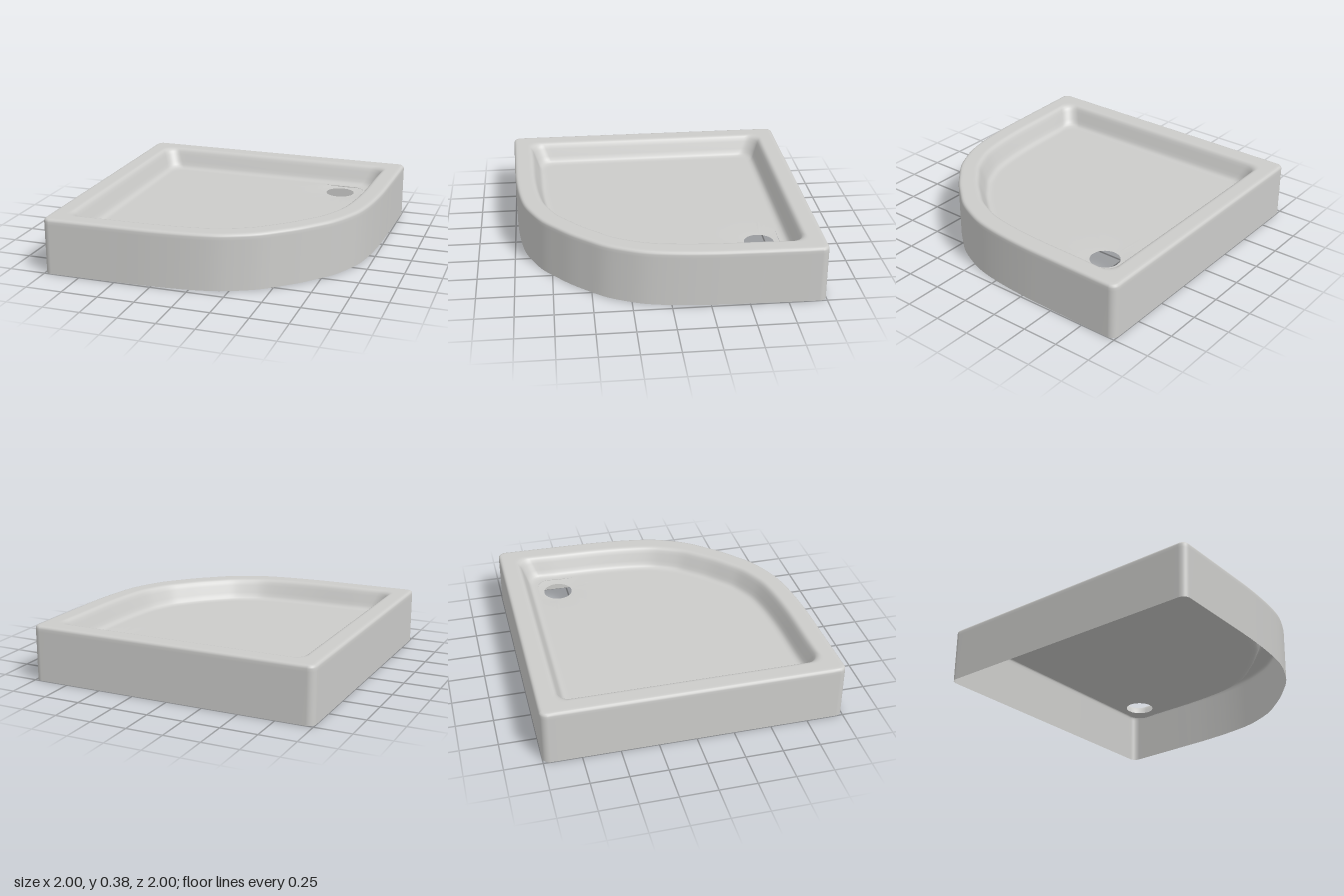
import * as THREE from 'three';

const HEIGHT = 0.38;
const DRAIN = { x: 0.595, z: -0.62, r: 0.1, y: 0.23 };

// Rounded front corner: half of the curve, mirrored across the diagonal x = z
const half = [[0.995, -0.75], [0.99, -0.5], [0.982, -0.25], [0.958, 0], [0.925, 0.17], [0.883, 0.28], [0.81, 0.42], [0.72, 0.53]];
const curvePoints = [...half, [0.63, 0.63], ...half.map(([x, z]) => [z, x]).reverse()];
const frontCurve = new THREE.CatmullRomCurve3(curvePoints.map(([x, z]) => new THREE.Vector3(x, 0, z)));

// One closed ring of the tray outline, moved inwards by inset, with corner radius r
function outline(inset, r, y) {
  const ring = [];
  const edge = 1 - inset;
  const add = (x, z) => ring.push(new THREE.Vector3(x, y, z));
  const straightTo = (x, z, n) => {
    const from = ring[ring.length - 1];
    for (let i = 1; i < n; i++) add(from.x + (x - from.x) * i / n, from.z + (z - from.z) * i / n);
  };
  const corner = (sx, sz, start) => {
    for (let i = 0; i <= 10; i++) {
      const a = start + i / 10 * Math.PI / 2;
      add(sx * (edge - r) + r * Math.cos(a), sz * (edge - r) + r * Math.sin(a));
    }
  };
  corner(-1, -1, Math.PI);
  straightTo(edge - r, -edge, 40);
  corner(1, -1, -Math.PI / 2);
  // Front curve, offset along its normal; ends stay clear of the corner arcs
  for (let i = 0; i <= 60; i++) {
    const u = 0.05 + 0.9 * i / 60;
    const p = frontCurve.getPointAt(u), t = frontCurve.getTangentAt(u);
    if (i === 0) straightTo(p.x - t.z * inset, p.z + t.x * inset, 4);
    add(p.x - t.z * inset, p.z + t.x * inset);
  }
  straightTo(-(edge - r), edge, 4);
  corner(-1, 1, Math.PI / 2);
  straightTo(-edge, -(edge - r), 40);
  return ring;
}

// Smooth surface through closed rings with equal point counts
function loft(name, rings, material) {
  const n = rings[0].length, index = [];
  for (let j = 0; j < rings.length - 1; j++) {
    for (let i = 0; i < n; i++) {
      const a = j * n + i, b = j * n + (i + 1) % n;
      index.push(a, a + n, b, b, a + n, b + n);
    }
  }
  const geometry = new THREE.BufferGeometry().setFromPoints(rings.flat());
  geometry.setIndex(index);
  geometry.computeVertexNormals();
  const mesh = new THREE.Mesh(geometry, material);
  mesh.name = name;
  return mesh;
}

export function createModel() {
  const group = new THREE.Group();
  group.name = 'showerTray';
  const enamel = new THREE.MeshStandardMaterial({ color: 0xccccca, side: THREE.DoubleSide });
  enamel.name = 'light grey enamel';

  // Outer skirt, open below, with a small rounded top edge
  const skirt = [[0, 0], [0, 0.34], [0, 0.36], [0.003, 0.37], [0.01, 0.377], [0.02, HEIGHT], [0.035, HEIGHT]];
  group.add(loft('skirt', skirt.map(([d, y]) => outline(d, 0.05 - Math.min(d, 0.02), y)), enamel));

  // Flat rim rolling down the sloped basin wall to the floor
  const basin = [[0.035, 0.38], [0.1, 0.38], [0.112, 0.38], [0.123, 0.378], [0.134, 0.371], [0.143, 0.358],
    [0.152, 0.338], [0.172, 0.288], [0.182, 0.264], [0.192, 0.25], [0.203, 0.242], [0.217, 0.238], [0.23, 0.237], [0.245, 0.237]];
  const basinRings = basin.map(([d, y]) => outline(d, 0.03 + Math.min(1, (d - 0.035) / 0.1) * 0.06, y));
  group.add(loft('rimAndBasinWall', basinRings, enamel));

  // Floor, running from the basin wall to the round drain hole
  const floorEdge = basinRings[basinRings.length - 1];
  const drainEdge = floorEdge.map((p) => {
    const a = Math.atan2(p.z - DRAIN.z, p.x - DRAIN.x);
    return new THREE.Vector3(DRAIN.x + DRAIN.r * Math.cos(a), DRAIN.y, DRAIN.z + DRAIN.r * Math.sin(a));
  });
  const floorRings = [0, 0.1, 0.3, 0.5, 0.7, 0.85, 0.95, 1].map((t) => floorEdge.map((p, i) => {
    const q = p.clone().lerp(drainEdge[i], t);
    // Shallow dish around the drain
    const reach = Math.hypot(q.x - DRAIN.x, q.z - DRAIN.z) - DRAIN.r;
    q.y = p.y + (DRAIN.y - p.y) * (1 - THREE.MathUtils.smoothstep(reach, 0, 0.12));
    return q;
  }));
  group.add(loft('floor', floorRings, enamel));

  return group;
}
